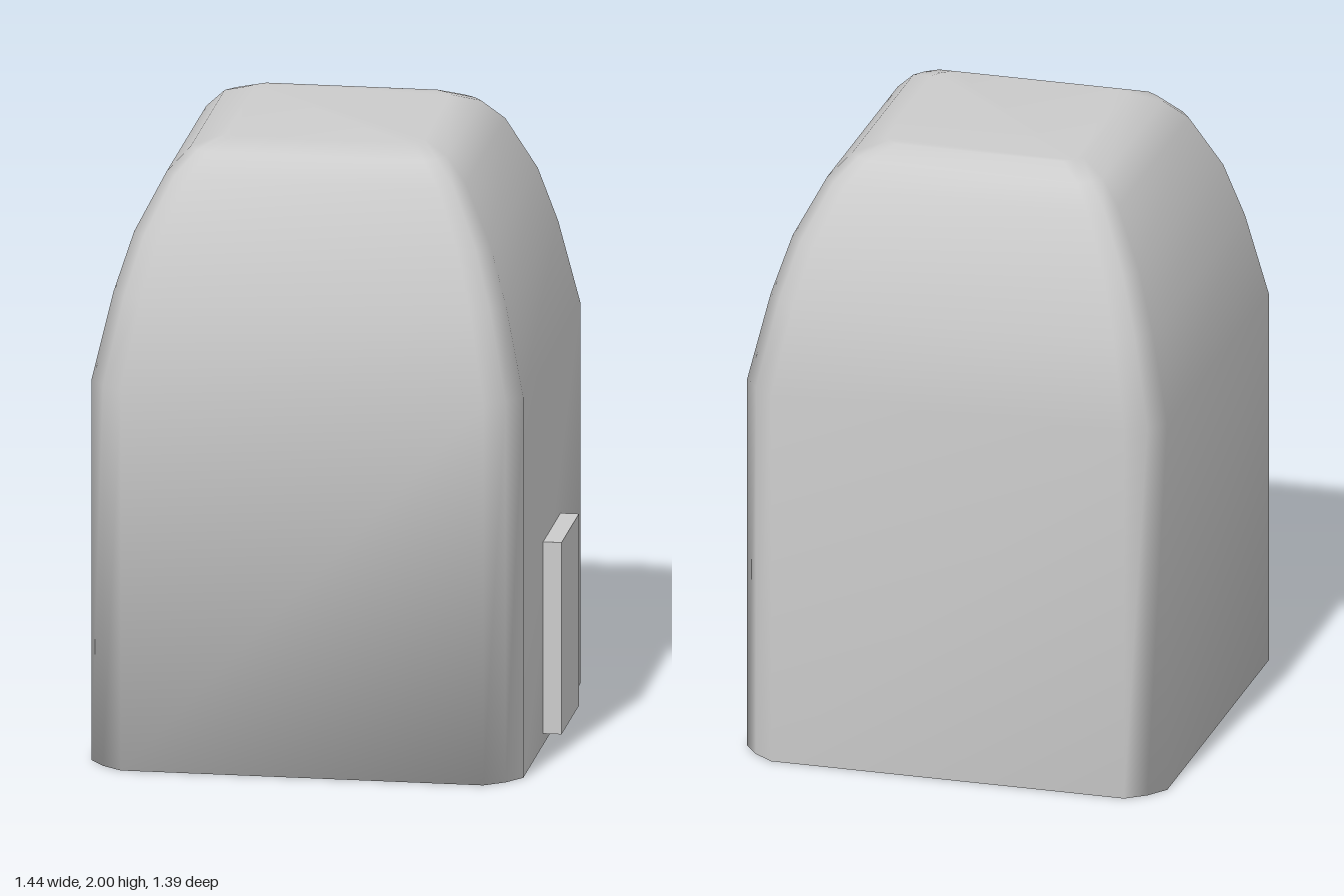
import * as THREE from 'three';

// Square outline with softened corners, counter-clockwise seen from above
function outline(half) {
  const cut = half * 0.16, mid = half * 0.068;
  const corner = [[half, half - cut], [half - mid, half - mid], [half - cut, half]];
  const points = [];
  for (let q = 0; q < 4; q++) {
    const c = Math.round(Math.cos(q * Math.PI / 2)), s = Math.round(Math.sin(q * Math.PI / 2));
    for (const [a, b] of corner) points.push([a * c - b * s, a * s + b * c]);
  }
  return points;
}

// Closed shell lofted through [half width, height] levels, with shared smooth normals
function loft(levels) {
  const n = 12, positions = [], index = [];
  for (const [half, y] of levels) {
    for (const [x, v] of outline(half)) positions.push(x, y, -v);
  }
  for (let k = 0; k < levels.length - 1; k++) {
    for (let i = 0; i < n; i++) {
      const a = k * n + i, b = k * n + (i + 1) % n;
      index.push(a, b, b + n, a, b + n, a + n);
    }
  }
  // Floor and roof caps
  const top = (levels.length - 1) * n;
  for (let i = 1; i < n - 1; i++) {
    index.push(0, i + 1, i);
    index.push(top + 4, top + (4 + i) % n, top + (5 + i) % n);
  }
  const geometry = new THREE.BufferGeometry();
  geometry.setAttribute('position', new THREE.Float32BufferAttribute(positions, 3));
  geometry.setIndex(index);
  geometry.computeVertexNormals();
  return geometry;
}

export function createModel() {
  const model = new THREE.Group();
  model.name = 'domedHut';
  const material = new THREE.MeshStandardMaterial({ color: 0xcccccc });

  // Straight walls curving in to a flat-topped dome
  const body = new THREE.Mesh(loft([
    [0.693, 0], [0.693, 1.25], [0.63, 1.53], [0.572, 1.715],
    [0.48, 1.895], [0.412, 1.965], [0.327, 2],
  ]), material);
  body.name = 'body';
  body.position.x = -0.03;
  model.add(body);

  // Door slab on the left wall
  const door = new THREE.Mesh(new THREE.BoxGeometry(0.08, 0.63, 0.354), material);
  door.name = 'door';
  door.position.set(0.682, 0.352, 0);
  model.add(door);

  return model;
}
